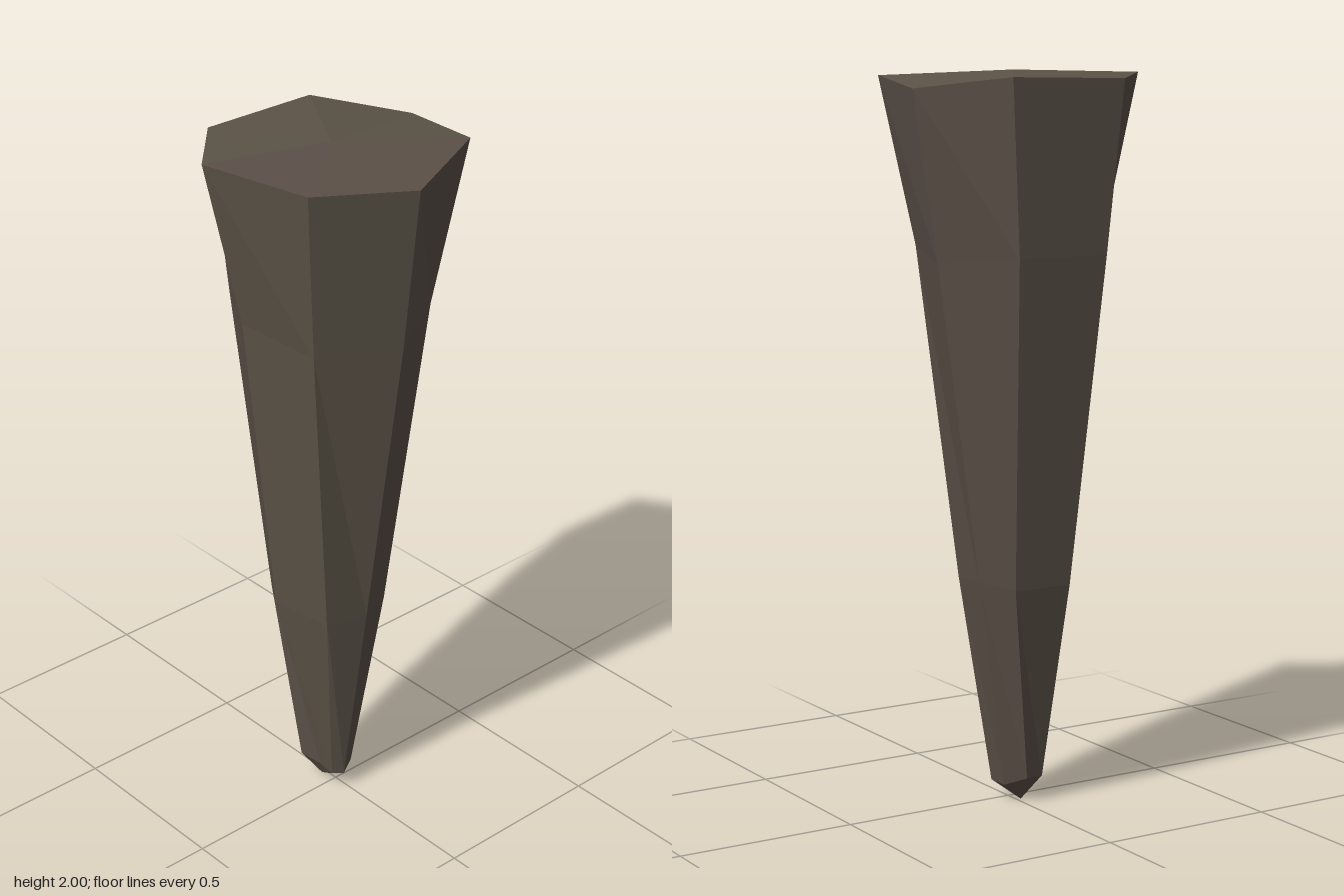
import * as THREE from 'three';

// Cross-sections from top to bottom, seven corners each: [x, y, z]
const RINGS = [
  [[0.315, 1.965, 0], [0.18, 1.975, 0.25], [-0.115, 1.993, 0.342], [-0.315, 1.98, 0.16],
    [-0.302, 1.985, -0.175], [-0.083, 1.955, -0.343], [0.19, 1.985, -0.29]],
  [[0.257, 1.5, -0.004], [0.142, 1.5, 0.2], [-0.088, 1.53, 0.245], [-0.28, 1.52, 0.13],
    [-0.27, 1.52, -0.135], [-0.075, 1.5, -0.265], [0.15, 1.53, -0.2]],
  [[0.12, 0.62, -0.008], [0.086, 0.62, 0.108], [-0.075, 0.64, 0.155], [-0.17, 0.62, 0.09],
    [-0.165, 0.62, -0.08], [-0.06, 0.63, -0.13], [0.08, 0.62, -0.11]],
  [[0.05, 0.05, 0.012], [0.028, 0.05, 0.04], [-0.02, 0.06, 0.042], [-0.085, 0.07, 0.057],
    [-0.09, 0.07, 0.005], [-0.05, 0.05, -0.045], [0.015, 0.05, -0.045]],
];
const PEAK = [0, 2, 0.015];
const TIP = [-0.045, 0, 0.013];
const SIDES = 7;

// Which of the two tones each facet takes: 0 olive, 1 brown
const CAP_TONES = [1, 1, 0, 0, 0, 0, 1];
const BAND_TONES = [
  [0, 0, 1, 0, 1, 1, 1],
  [0, 0, 1, 0, 1, 1, 1],
  [0, 0, 1, 1, 1, 1, 1],
];

// Faceted mesh whose triangles are sorted by tone into two groups
function facetMesh(name, tones, materials) {
  const geometry = new THREE.BufferGeometry();
  const all = tones.flat(2);
  geometry.setAttribute('position', new THREE.Float32BufferAttribute(all, 3));
  let start = 0;
  tones.forEach((points, i) => {
    geometry.addGroup(start, points.length, i);
    start += points.length;
  });
  geometry.computeVertexNormals();
  const mesh = new THREE.Mesh(geometry, materials);
  mesh.name = name;
  return mesh;
}

export function createModel() {
  const olive = new THREE.MeshStandardMaterial({ color: 0x5b5347, flatShading: true });
  olive.name = 'olive stone';
  const brown = new THREE.MeshStandardMaterial({ color: 0x5a4f47, flatShading: true });
  brown.name = 'brown stone';
  const materials = [olive, brown];

  const cap = [[], []];
  const shaft = [[], []];
  const point = [[], []];
  const last = RINGS[RINGS.length - 1];

  for (let i = 0; i < SIDES; i++) {
    const j = (i + 1) % SIDES;
    // Shallow faceted top
    cap[CAP_TONES[i]].push(PEAK, RINGS[0][j], RINGS[0][i]);
    // Tapering sides
    BAND_TONES.forEach((tones, b) => {
      const up = RINGS[b], low = RINGS[b + 1];
      shaft[tones[i]].push(up[j], low[j], low[i], up[j], low[i], up[i]);
    });
    // Blunt bottom tip
    point[1].push(last[j], TIP, last[i]);
  }

  const model = new THREE.Group();
  model.name = 'stalactite';
  model.add(
    facetMesh('topCap', cap, materials),
    facetMesh('shaft', shaft, materials),
    facetMesh('tip', point, materials),
  );
  return model;
}
